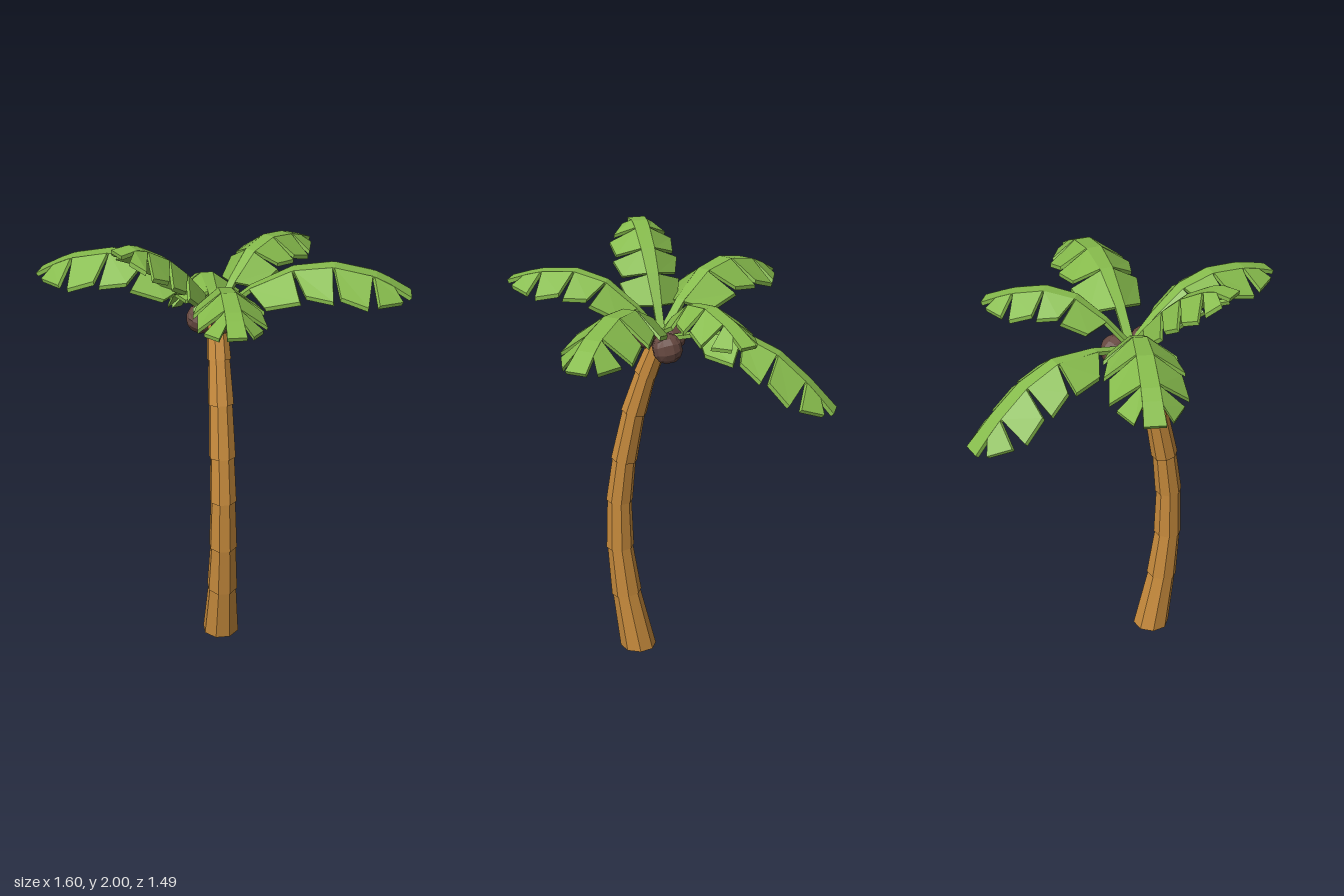
import * as THREE from 'three';
import { mergeGeometries } from 'three/addons/utils/BufferGeometryUtils.js';

const V = (x, y, z) => new THREE.Vector3(x, y, z);

// Faceted copy: every face gets its own normal
function faceted(geometry) {
  const g = geometry.index ? geometry.toNonIndexed() : geometry;
  g.computeVertexNormals();
  return g;
}

// Move every vertex of a geometry by a rule
function deform(geometry, rule) {
  const p = geometry.attributes.position;
  for (let i = 0; i < p.count; i++) {
    const v = rule(V().fromBufferAttribute(p, i));
    p.setXYZ(i, v.x, v.y, v.z);
  }
  return faceted(geometry);
}

// Thin slab with four top corners (near left, near right, far left, far right)
function slab(nl, nr, fl, fr, down) {
  return deform(new THREE.BoxGeometry(1, 1, 1), (v) => {
    const corner = v.z < 0 ? (v.x < 0 ? nl : nr) : (v.x < 0 ? fl : fr);
    return v.y > 0 ? corner.clone() : corner.clone().add(down);
  });
}

// Trunk rings along the bend: height, depth, bottom radius, top radius of the segment
const TRUNK = [
  [0, 0.16, 0.085, 0.066],
  [0.28, 0.215, 0.071, 0.06],
  [0.52, 0.244, 0.065, 0.057],
  [0.76, 0.245, 0.062, 0.055],
  [0.97, 0.22, 0.061, 0.053],
  [1.21, 0.172, 0.059, 0.049],
  [1.4, 0.115, 0.054, 0.043],
  [1.6, 0.04],
];
const TRUNK_X = -0.035;

function trunkSegment(i) {
  const ring = (k) => {
    const a = TRUNK[Math.max(k - 1, 0)], b = TRUNK[Math.min(k + 1, TRUNK.length - 1)];
    const t = k === 0 ? V(0, 1, 0) : V(0, b[0] - a[0], b[1] - a[1]).normalize();
    return { centre: V(TRUNK_X, TRUNK[k][0], TRUNK[k][1]), depth: V(1, 0, 0).cross(t) };
  };
  const low = ring(i), high = ring(i + 1);
  const g = new THREE.CylinderGeometry(TRUNK[i][3], TRUNK[i][2], 1, 8);
  g.rotateY(Math.PI / 8);
  return deform(g, (v) => {
    const r = v.y < 0 ? low : high;
    return r.centre.clone().add(V(v.x, 0, 0)).addScaledVector(r.depth, v.z);
  });
}

// Rib stations: fraction along the frond, half width
const RIB = [[0, 0.018], [0.2, 0.021], [0.42, 0.029], [0.61, 0.034], [0.81, 0.037], [0.88, 0.038], [1, 0.044]];

// Leaflets: root start, root end, then outer corners as fraction and half width
const LEAFLETS = [
  [0.19, 0.41, 0.23, 0.115, 0.42, 0.148],
  [0.42, 0.6, 0.46, 0.132, 0.615, 0.16],
  [0.61, 0.79, 0.655, 0.142, 0.81, 0.155],
  [0.8, 0.9, 0.87, 0.13, 0.97, 0.075],
];

const BASE = V(-0.03, 1.6, 0.04);

// Frond: plan tip, width scale, and profile as (fraction of plan length, height)
function frondGeometry({ tip, scale, profile }) {
  const reach = V(tip[0] - BASE.x, 0, tip[1] - BASE.z);
  const points = profile.map(([f, y]) => BASE.clone().addScaledVector(reach, f).setY(y));
  const curve = new THREE.CatmullRomCurve3(points);
  const side = V(0, 1, 0).cross(reach).normalize();

  const normal = (u) => curve.getTangentAt(u).cross(side).normalize();
  const at = (u, w, drop = 0) =>
    curve.getPointAt(u).addScaledVector(side, w).addScaledVector(normal(u), -drop);
  const ribWidth = (u) => {
    const k = Math.max(1, RIB.findIndex((r) => r[0] >= u));
    const [a, b] = [RIB[k - 1], RIB[k]];
    return THREE.MathUtils.mapLinear(u, a[0], b[0], a[1], b[1]) * scale;
  };
  const parts = [];

  // Flat central rib, bending at each station
  for (let i = 0; i + 1 < RIB.length; i++) {
    const u = RIB[i][0], v = RIB[i + 1][0], a = ribWidth(u), b = ribWidth(v);
    parts.push(slab(at(u, -a), at(u, a), at(v, -b), at(v, b), normal((u + v) / 2).multiplyScalar(-0.018)));
  }

  // Drooping leaflets, mirrored to both sides
  for (const [u0, u1, o0, w0, o1, w1] of LEAFLETS) {
    const down = normal((u0 + u1) / 2).multiplyScalar(-0.018);
    for (const s of [-1, 1]) {
      const inner = (u) => at(u, s * ribWidth(u));
      const outer = (u, w) => at(u, s * w * scale, 0.75 * (w * scale - ribWidth(u)));
      const near = [inner(u0), outer(o0, w0)], far = [inner(u1), outer(o1, w1)];
      if (s < 0) { near.reverse(); far.reverse(); }
      parts.push(slab(...near, ...far, down));
    }
  }
  return mergeGeometries(parts);
}

const FRONDS = {
  backFrond: { tip: [-0.035, -0.745], scale: 1,
    profile: [[0, 1.58], [0.2, 1.615], [0.36, 1.635], [0.5, 1.615], [0.65, 1.56], [0.82, 1.45], [1, 1.3]] },
  frontFrond: { tip: [-0.045, 0.74], scale: 0.92,
    profile: [[0, 1.6], [0.14, 1.7], [0.28, 1.79], [0.45, 1.845], [0.63, 1.86], [0.82, 1.84], [1, 1.8]] },
  leftFrond: { tip: [0.79, 0.195], scale: 1.05,
    profile: [[0, 1.6], [0.14, 1.7], [0.28, 1.77], [0.45, 1.82], [0.62, 1.825], [0.82, 1.785], [1, 1.7]] },
  backLeftFrond: { tip: [0.43, -0.44], scale: 0.85,
    profile: [[0, 1.6], [0.15, 1.7], [0.3, 1.78], [0.46, 1.82], [0.62, 1.82], [0.8, 1.79], [1, 1.735]] },
  backRightFrond: { tip: [-0.785, -0.285], scale: 1.05,
    profile: [[0, 1.6], [0.14, 1.7], [0.28, 1.78], [0.45, 1.825], [0.62, 1.825], [0.82, 1.78], [1, 1.7]] },
  frontRightFrond: { tip: [-0.48, 0.27], scale: 0.92,
    profile: [[0, 1.6], [0.16, 1.71], [0.32, 1.81], [0.5, 1.9], [0.68, 1.96], [0.85, 1.995], [1, 1.99]] },
};

// Coconuts: centre, radius, turn
const COCONUTS = [
  [-0.1, 1.555, 0.015, 0.068, 0.5],
  [-0.015, 1.59, 0.115, 0.063, 0.9],
  [0.03, 1.55, 0.0, 0.07, 0.2],
];

export function createModel() {
  const model = new THREE.Group();
  model.name = 'palmTree';
  const material = (name, color) => Object.assign(new THREE.MeshStandardMaterial({ color }), { name });
  const bark = material('bark', 0xc68a3c);
  const leaf = material('leaf', 0x86bb4c);
  const shell = material('shell', 0x664840);
  const add = (name, geometry, mat) => {
    const mesh = new THREE.Mesh(geometry, mat);
    mesh.name = name;
    model.add(mesh);
    return mesh;
  };

  for (let i = 0; i + 1 < TRUNK.length; i++) add(`trunkSegment${i + 1}`, trunkSegment(i), bark);

  for (const [name, spec] of Object.entries(FRONDS)) add(name, frondGeometry(spec), leaf);

  // Coconuts are boxes rounded to faceted balls
  COCONUTS.forEach(([x, y, z, r, turn], i) => {
    const ball = deform(new THREE.BoxGeometry(1, 1, 1, 3, 3, 3), (v) => v.setLength(r));
    const nut = add(`coconut${i + 1}`, ball, shell);
    nut.position.set(x, y, z);
    nut.rotation.set(turn, turn * 2, turn * 0.5);
  });

  return model;
}
